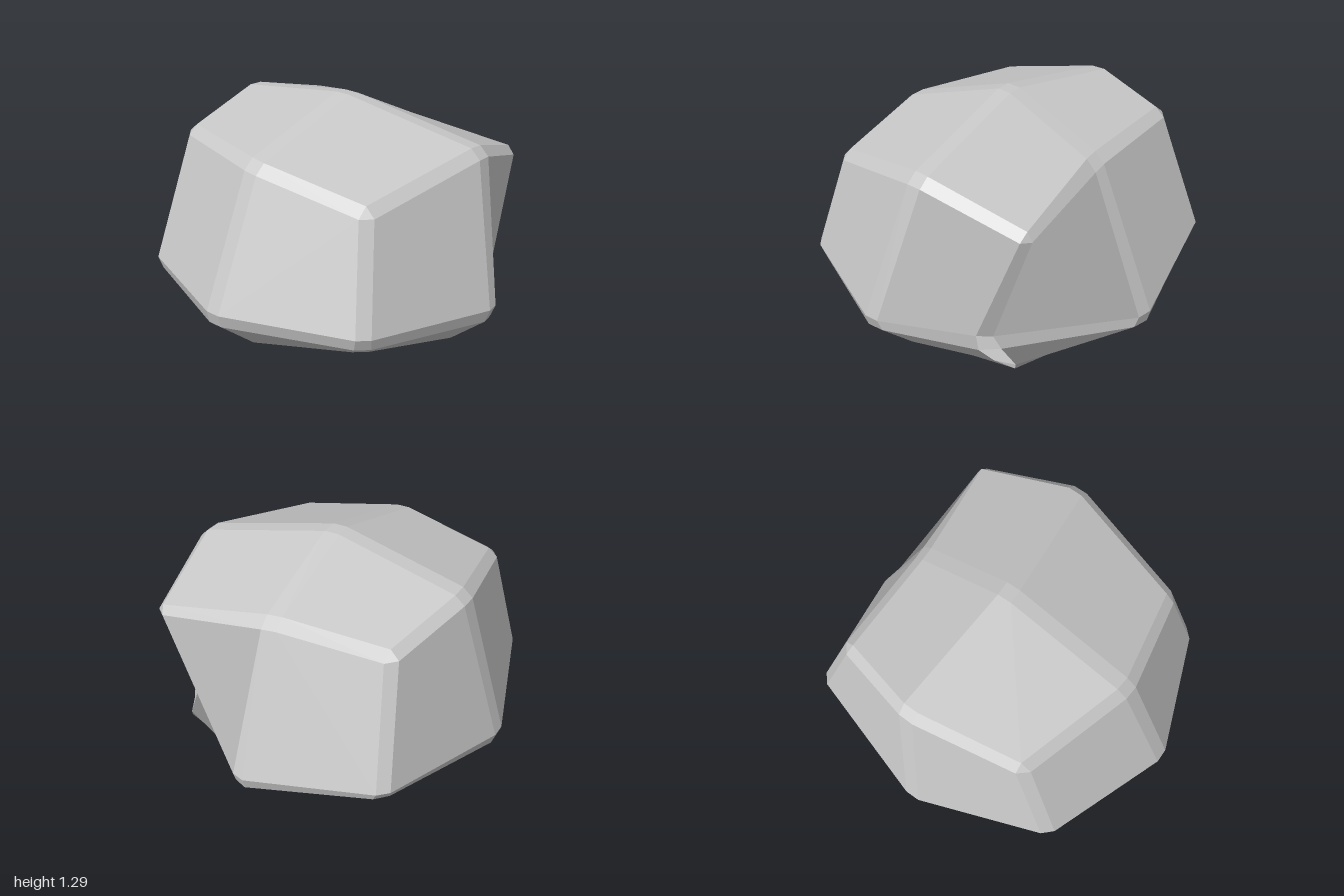
import * as THREE from 'three';

// Each ring runs counterclockwise from the front middle, as seen from above.
const upper = [
  [0.17, 1.1, 0.8], [0.765, 0.93, 0.67], [0.635, 1.05, 0], [0.61, 1.115, -0.67],
  [0.11, 1.21, -0.79], [-0.5, 1.1, -0.665], [-0.69, 1.07, 0], [-0.58, 0.94, 0.63],
];
const middle = [
  [0.0, 0.29, 1.025], [0.48, 0.24, 0.69], [1.02, 0.23, 0], [0.84, 0.42, -0.785],
  [0.01, 0.3, -1.025], [-0.745, 0.35, -0.745], [-1.03, 0.34, 0], [-0.745, 0.33, 0.745],
];
const lower = [
  [0.02, 0.05, 0.75], [0.675, 0.13, 0.655], [0.735, 0.01, 0], [0.64, 0.3, -0.62],
  [0.02, 0.05, -0.75], [-0.58, 0.2, -0.6], [-0.74, 0.09, 0], [-0.61, 0.21, 0.62],
];
const points = [...upper, ...middle, ...lower, [0.055, 1.305, 0], [-0.04, -0.01, 0]]
  .map(p => new THREE.Vector3(...p));
const TOP = 24, BOTTOM = 25, BEVEL = 0.042;

// Quads of the coarse stone: two bands around the sides and a cap at each end
function coarseFaces() {
  const faces = [];
  for (let k = 0; k < 8; k++) {
    const n = (k + 1) % 8, m = (k + 2) % 8;
    faces.push([8 + k, 8 + n, n, k], [16 + k, 16 + n, 8 + n, 8 + k]);
    if (k % 2 === 0) faces.push([TOP, k, n, m], [BOTTOM, 16 + m, 16 + n, 16 + k]);
  }
  return faces;
}

// Moves a corner into its face so that it lies one bevel width from both edges
function inset(face, i) {
  const p = points[face[i]];
  const a = points[face[(i + 1) % 4]].clone().sub(p).normalize();
  const b = points[face[(i + 3) % 4]].clone().sub(p).normalize();
  const sine = Math.max(0.6, a.clone().cross(b).length());
  return a.add(b).multiplyScalar(BEVEL / sine).add(p);
}

function bevelledStone() {
  const faces = coarseFaces();
  const corner = faces.map(f => new Map(f.map((v, i) => [v, inset(f, i)])));
  const position = [], normal = [], index = [];

  // Every polygon has its own vertices and one normal, so each facet is shaded flat
  const polygon = list => {
    const start = position.length / 3, count = list.length;
    const facing = new THREE.Vector3();
    list.forEach((p, i) => facing.add(p.clone().cross(list[(i + 1) % count])));
    facing.normalize();
    for (const p of list) {
      position.push(p.x, p.y, p.z);
      normal.push(facing.x, facing.y, facing.z);
    }
    // Quads are split along their shorter diagonal
    const turn = count === 4 && list[1].distanceTo(list[3]) < list[0].distanceTo(list[2]) ? 1 : 0;
    for (let i = 1; i < count - 1; i++) {
      index.push(start + turn, start + (i + turn) % count, start + (i + 1 + turn) % count);
    }
  };

  // Which face owns each directed edge
  const owner = new Map();
  faces.forEach((f, fi) => f.forEach((v, i) => owner.set(v + '>' + f[(i + 1) % 4], fi)));

  faces.forEach((f, fi) => {
    // Main facet
    polygon(f.map(v => corner[fi].get(v)));
    // Bevel strips along shared edges
    f.forEach((a, i) => {
      const b = f[(i + 1) % 4];
      const gi = owner.get(b + '>' + a);
      if (fi < gi) polygon([corner[fi].get(b), corner[fi].get(a), corner[gi].get(a), corner[gi].get(b)]);
    });
  });

  // Small facets where the strips meet
  points.forEach((_, v) => {
    const first = faces.findIndex(f => f.includes(v));
    const loop = [];
    let fi = first;
    do {
      loop.unshift(corner[fi].get(v));
      const f = faces[fi];
      fi = owner.get(f[(f.indexOf(v) + 1) % 4] + '>' + v);
    } while (fi !== first);
    polygon(loop);
  });

  const geometry = new THREE.BufferGeometry();
  geometry.setAttribute('position', new THREE.Float32BufferAttribute(position, 3));
  geometry.setAttribute('normal', new THREE.Float32BufferAttribute(normal, 3));
  geometry.setIndex(index);
  return geometry;
}

export function createModel() {
  const group = new THREE.Group();
  group.name = 'boulder';
  const stone = new THREE.MeshStandardMaterial({ color: 0xc6c6c6 });
  stone.name = 'grey stone';
  const rock = new THREE.Mesh(bevelledStone(), stone);
  rock.name = 'rock';
  group.add(rock);
  return group;
}
